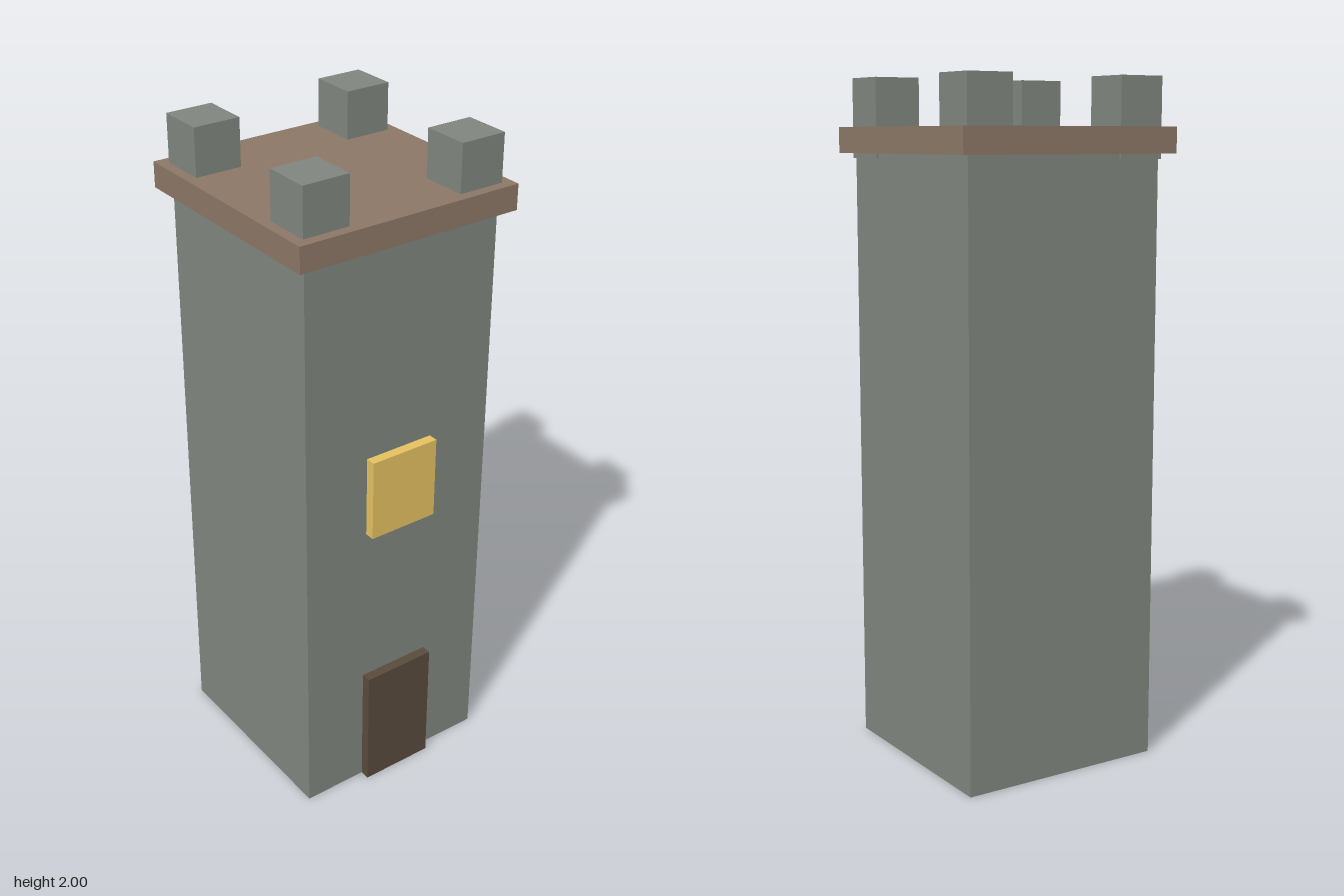
import * as THREE from 'three';

export function createModel() {
  const tower = new THREE.Group();
  tower.name = 'tower';

  const paint = (color) => new THREE.MeshStandardMaterial({ color });
  const stone = paint(0x7f857e);
  const plank = paint(0x8b7766);
  const darkWood = paint(0x594a3c);
  const lamplight = paint(0xe3c060);

  // Box given by its size, the height of its underside and its centre in x and z
  function box(name, [w, h, d], bottom, x, z, material) {
    const mesh = new THREE.Mesh(new THREE.BoxGeometry(w, h, d), material);
    mesh.name = name;
    mesh.position.set(x, bottom + h / 2, z);
    tower.add(mesh);
  }

  // Shaft and overhanging roof platform
  box('towerBody', [0.63, 1.79, 0.63], 0, 0, 0, stone);
  box('roofPlatform', [0.704, 0.075, 0.704], 1.785, 0, 0, plank);

  // Corner battlements, reaching down through the platform
  for (const x of [-0.25, 0.25]) {
    for (const z of [-0.25, 0.25]) {
      box('battlement', [0.142, 0.23, 0.142], 1.77, x, z, stone);
    }
  }

  // Door and lit window, standing proud of the front wall
  box('door', [0.23, 0.39, 0.05], 0, 0, 0.32, darkWood);
  box('window', [0.22, 0.25, 0.05], 0.9, 0, 0.32, lamplight);

  return tower;
}
